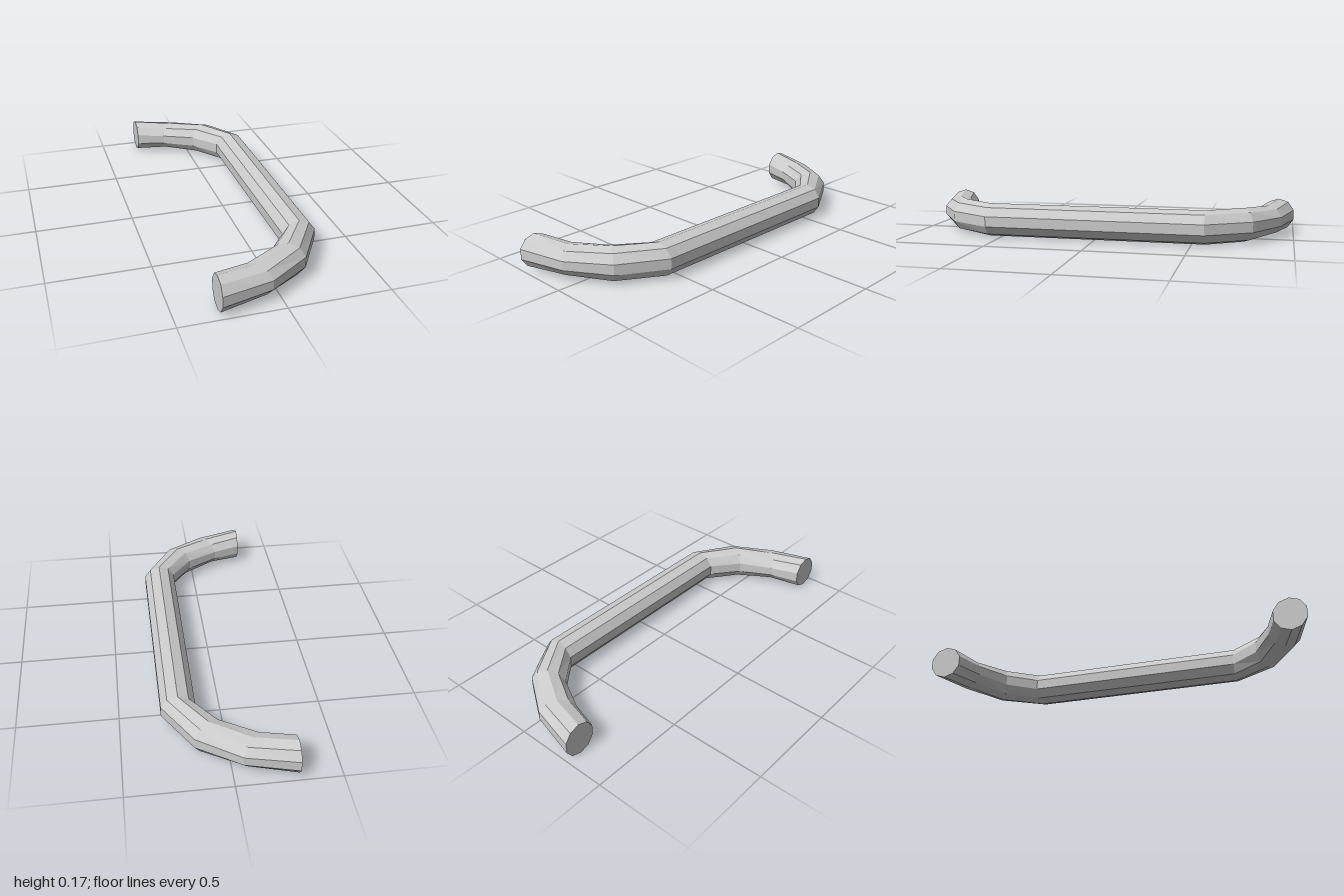
import * as THREE from 'three';

const SIDES = 10;
const MID_Y = 0.0868;

// Half of the bar: centre (x, z), outward half-width vector (dx, dz), half-height
const HALF = [
  { x: -0.298, z: 0.919, dx: 0, dz: 0.081, h: 0.0868 },
  { x: -0.098, z: 0.865, dx: 0.051, dz: 0.072, h: 0.0755 },
  { x: 0.089, z: 0.753, dx: 0.071, dz: 0.046, h: 0.0868 },
  { x: 0.214, z: 0.568, dx: 0.084, dz: 0, h: 0.0868 },
];

// Lofts ten-sided rings into a closed bar
function loft(rings) {
  const pos = [];
  const index = [];
  const c18 = Math.cos(Math.PI / 10);
  for (const r of rings) {
    for (let k = 0; k < SIDES; k++) {
      const a = Math.PI / 10 + (k * 2 * Math.PI) / SIDES;
      const u = Math.cos(a) / c18;
      pos.push(r.x + r.dx * u, MID_Y + r.h * Math.sin(a), r.z + r.dz * u);
    }
  }
  // Walls
  for (let i = 0; i < rings.length - 1; i++) {
    for (let k = 0; k < SIDES; k++) {
      const n = (k + 1) % SIDES;
      const a = i * SIDES + k, b = i * SIDES + n;
      index.push(a, b, b + SIDES, a, b + SIDES, a + SIDES);
    }
  }
  // Flat end caps
  const last = (rings.length - 1) * SIDES;
  for (let k = 1; k < SIDES - 1; k++) {
    index.push(0, k + 1, k, last, last + k, last + k + 1);
  }
  const indexed = new THREE.BufferGeometry();
  indexed.setAttribute('position', new THREE.Float32BufferAttribute(pos, 3));
  indexed.setIndex(index);
  const geometry = indexed.toNonIndexed();
  geometry.computeVertexNormals();
  return geometry;
}

export function createModel() {
  const group = new THREE.Group();
  group.name = 'pullHandle';

  // Mirror the curved end to the back, then run through to the front
  const back = HALF.map((r) => ({ ...r, z: -r.z, dz: -r.dz }));
  const rings = [...back, ...HALF.slice().reverse()];

  const material = new THREE.MeshStandardMaterial({ color: 0xcccccc, flatShading: true });
  const bar = new THREE.Mesh(loft(rings), material);
  bar.name = 'handleBar';
  group.add(bar);
  return group;
}
